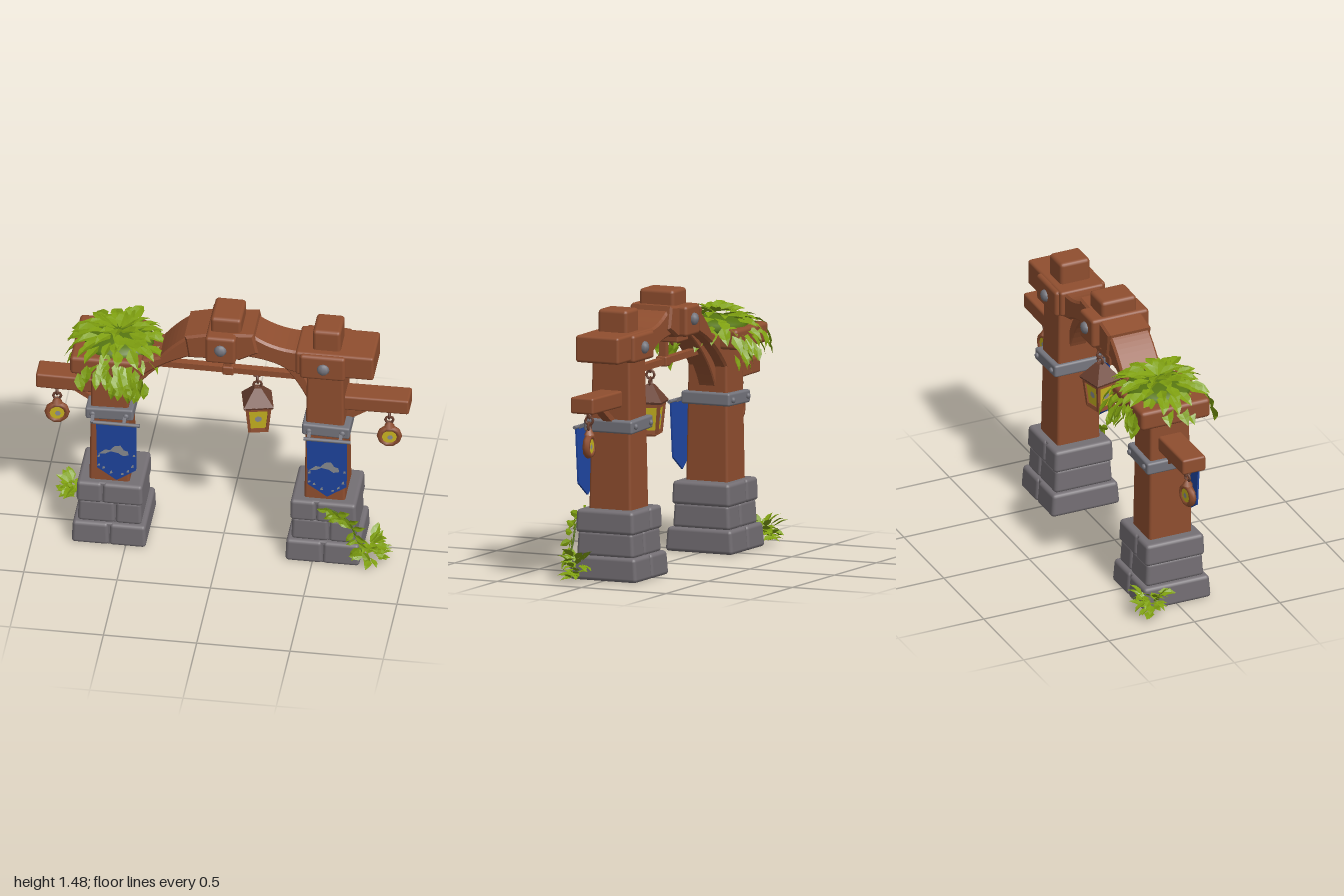
import * as THREE from 'three';
import { mergeGeometries } from 'three/addons/utils/BufferGeometryUtils.js';
import { RoundedBoxGeometry } from 'three/addons/geometries/RoundedBoxGeometry.js';

const mat = (name, color, side = THREE.FrontSide) => {
  const m = new THREE.MeshStandardMaterial({ color, side });
  m.name = name;
  return m;
};

export function createModel() {
  const model = new THREE.Group();
  const wood = mat('wood', 0x8f4e2f), darkWood = mat('dark wood', 0x6b4030);
  const stone = mat('stone', 0x746f74), iron = mat('iron', 0x74747c);
  const blue = mat('blue cloth', 0x1f459f), grey = mat('worn grey', 0x8b8d92);
  const glow = mat('yellow glass', 0xc8b420);
  const green = mat('leaf green', 0x7fa010, THREE.DoubleSide);
  const deepGreen = mat('deep green', 0x567510);

  let seed = 7;
  const rnd = (a = 0, b = 1) => {
    seed = (seed * 16807) % 2147483647;
    return a + (b - a) * (seed / 2147483647);
  };
  const add = (name, geo, material, x = 0, y = 0, z = 0, parent = model) => {
    const m = new THREE.Mesh(geo, material);
    m.name = name;
    m.position.set(x, y, z);
    parent.add(m);
    return m;
  };
  // Soft-edged block given by its limits, optionally narrowed towards the top
  const block = (name, material, [x0, x1], [y0, y1], [z0, z1], r = 0.015, taper = 1) => {
    const h = y1 - y0, g = new RoundedBoxGeometry(x1 - x0, h, z1 - z0, 2, r), p = g.attributes.position;
    for (let i = 0; i < p.count; i++) {
      const s = 1 + (taper - 1) * (p.getY(i) / h + 0.5);
      p.setX(i, p.getX(i) * s);
      p.setZ(i, p.getZ(i) * s);
    }
    return add(name, g, material, (x0 + x1) / 2, (y0 + y1) / 2, (z0 + z1) / 2);
  };
  const outline = pts => new THREE.Shape(pts.map(p => new THREE.Vector2(...p)));
  // Timber cut from a side outline, with chamfered edges
  const timber = (name, shape, half, bevel = 0.012) => {
    const g = new THREE.ExtrudeGeometry(shape, { depth: 2 * (half - bevel), bevelThickness: bevel,
      bevelSize: bevel, bevelOffset: -bevel, bevelSegments: 1, curveSegments: 8 });
    return add(name, g, wood, 0, 0, bevel - half);
  };
  const strut = (name, a, b, w, d, material, parent = model) => {
    const A = new THREE.Vector3(...a), B = new THREE.Vector3(...b), dir = B.clone().sub(A);
    const m = add(name, new THREE.BoxGeometry(w, dir.length(), d), material, 0, 0, 0, parent);
    m.position.copy(A).add(B).multiplyScalar(0.5);
    m.quaternion.setFromUnitVectors(new THREE.Vector3(0, 1, 0), dir.normalize());
    return m;
  };
  const bolt = (x, y, z, r = 0.034) => {
    const m = add('bolt', new THREE.SphereGeometry(r, 8, 6), iron, x, y, z);
    m.scale.z = 0.7;
  };

  // Stone footings and posts
  for (const cx of [-0.59, 0.555]) {
    const courses = [[0.2, 0.015, 0.145, 0.2, 0.95, 0], [0.172, 0.14, 0.275, 0.17, 0.95, 0.03], [0.178, 0.265, 0.39, 0.173, 0.97, -0.04]];
    for (const [hw, y0, y1, hz, taper, split] of courses) {
      block('footing core', stone, [cx - hw + 0.02, cx + hw - 0.02], [y0, y1], [-hz + 0.012, hz - 0.012], 0.01, taper);
      block('footing stone', stone, [cx - hw, cx + split], [y0, y1], [-hz, hz], 0.02, taper);
      block('footing stone', stone, [cx + split, cx + hw], [y0, y1], [-hz, hz], 0.02, taper);
    }
  }
  block('leftPost', wood, [0.447, 0.667], [0.37, 1.25], [-0.125, 0.125], 0.015, 0.88);
  block('rightPost', wood, [-0.705, -0.488], [0.37, 1.2], [-0.125, 0.125], 0.015, 0.9);
  block('leftPostTop', wood, [0.487, 0.637], [1.2, 1.455], [-0.087, 0.087], 0.02);

  // Iron bands, banners and side arms with hanging round lamps
  for (const [px, bandY, armY, side] of [[-0.595, 0.83, 0.955, -1], [0.565, 0.84, 0.985, 1]]) {
    const band = block('postBand', iron, [px - 0.128, px + 0.128], [bandY - 0.035, bandY + 0.035], [-0.145, 0.142], 0.012);
    band.rotation.z = side * -0.03;
    for (const dx of [-0.09, 0.09]) for (const z of [-0.15, 0.145]) bolt(px + dx, bandY, z, 0.016);

    const banner = new THREE.Group();
    banner.name = 'banner';
    banner.position.set(px + (side < 0 ? 0.046 : 0.014), side < 0 ? 0.81 : 0.82, 0.19);
    banner.rotation.x = 0.04;
    model.add(banner);
    const cloth = outline([[-0.108, 0], [-0.104, -0.3], [0, -0.375], [0.104, -0.3], [0.108, 0]].reverse());
    add('bannerCloth', new THREE.ExtrudeGeometry(cloth, { depth: 0.01, bevelEnabled: false }), blue, 0, 0, -0.005, banner);
    const emblem = [[-0.098, -0.205], [-0.06, -0.2], [-0.03, -0.182], [0.01, -0.19], [0.035, -0.208], [0.066, -0.2], [0.062, -0.175],
      [0.04, -0.168], [0.022, -0.138], [-0.01, -0.145], [-0.035, -0.175], [-0.06, -0.172]];
    const wear = [[-0.095, -0.28], [-0.07, -0.296], [-0.03, -0.325], [0.03, -0.33], [0.06, -0.31], [0.085, -0.275], [0.094, -0.2], [-0.095, -0.22]];
    const marks = [outline(emblem), ...wear.map(([x, y], i) =>
      outline([[x - 0.007, y - 0.008], [x + 0.008, y - 0.004], [x + 0.006, y + 0.008 + 0.004 * (i % 3)], [x - 0.004, y + 0.006]]))];
    add('bannerMarks', new THREE.ShapeGeometry(marks), grey, 0, 0, 0.0075, banner);
    const rod = add('bannerRod', new THREE.CylinderGeometry(0.01, 0.01, 0.25, 8), iron, 0, 0, 0, banner);
    rod.rotation.z = Math.PI / 2;
    for (const dx of [-0.085, 0.085])
      strut('bannerHook', [px + dx, bandY, 0.13], [px + dx, bandY - 0.025, 0.19], 0.018, 0.018, iron);

    const inner = px + side * 0.07, arm = [Math.min(inner, side), Math.max(inner, side)];
    const beam = block('sideArm', wood, arm, [armY - 0.044, armY + 0.044], [-0.068, 0.068], 0.012);
    beam.rotation.z = side * 0.01;
    strut('armBrace', [px + side * 0.1, armY - 0.12, 0], [px + side * 0.23, armY - 0.035, 0], 0.03, 0.05, wood);

    const lamp = new THREE.Group();
    lamp.name = 'roundLamp';
    lamp.position.set(side < 0 ? -0.893 : 0.888, armY - 0.228, 0.01);
    lamp.rotation.y = 0.12;
    model.add(lamp);
    const rim = add('lampRim', new THREE.TorusGeometry(0.051, 0.017, 6, 10), wood, 0, 0, 0, lamp);
    rim.scale.z = 1.2;
    const glass = add('lampGlass', new THREE.CylinderGeometry(0.045, 0.045, 0.025, 10), glow, 0, 0, 0, lamp);
    glass.rotation.x = Math.PI / 2;
    for (const s of [-1, 1]) {
      const spot = add('lampSpot', new THREE.CircleGeometry(0.016, 6), grey, 0.004, -0.003, s * 0.0135, lamp);
      if (s < 0) spot.rotation.y = Math.PI;
    }
    add('lampNeck', new THREE.CylinderGeometry(0.013, 0.03, 0.03, 6), wood, 0, 0.075, 0, lamp);
    for (let i = 0; i < 3; i++) {
      const link = add('chainLink', new THREE.TorusGeometry(0.021, 0.0075, 5, 8), darkWood, 0, 0.105 + i * 0.033, 0, lamp);
      link.rotation.y = i * Math.PI / 2;
    }
  }

  // Cap beams
  block('leftCapBeam', wood, [0.4, 0.82], [1.19, 1.335], [-0.128, 0.128], 0.015);
  block('leftCapCollar', wood, [0.425, 0.67], [1.18, 1.33], [-0.148, 0.148], 0.018);
  block('rightCapSlab', wood, [-0.8, -0.42], [1.11, 1.22], [-0.215, 0.19], 0.02);
  for (const s of [-1, 1]) bolt(0.553, 1.253, s * 0.15);

  // Arch
  const rightArch = new THREE.Shape();
  rightArch.moveTo(-0.52, 0.98);
  rightArch.quadraticCurveTo(-0.36, 1.17, -0.14, 1.245);
  rightArch.lineTo(-0.16, 1.375);
  rightArch.quadraticCurveTo(-0.25, 1.32, -0.33, 1.215);
  rightArch.lineTo(-0.52, 1.15);
  timber('rightArchBeam', rightArch, 0.115);
  const leftArch = new THREE.Shape();
  leftArch.moveTo(0.46, 1.165);
  leftArch.lineTo(0.46, 1.325);
  leftArch.quadraticCurveTo(0.3, 1.31, 0.17, 1.4);
  leftArch.lineTo(0.1, 1.26);
  leftArch.quadraticCurveTo(0.28, 1.25, 0.35, 1.195);
  timber('leftArchBeam', leftArch, 0.105);
  timber('archCrown', outline([[-0.175, 1.235], [0.1, 1.245], [0.2, 1.3], [0.175, 1.42], [-0.07, 1.4], [-0.195, 1.37]]), 0.125);
  for (const [a, b, c] of [[[-0.51, 0.87], [-0.43, 1.06], [-0.2, 1.21]], [[0.48, 0.9], [0.43, 1.08], [0.27, 1.24]]]) {
    const s = Math.sign(c[0] - a[0]), brace = new THREE.Shape();
    brace.moveTo(...a);
    brace.quadraticCurveTo(b[0], b[1], c[0], c[1]);
    brace.lineTo(c[0] - s * 0.04, c[1] + 0.05);
    brace.quadraticCurveTo(b[0] - s * 0.03, b[1] + 0.06, a[0], a[1] + 0.1);
    timber('archBrace', brace, 0.05, 0.006);
  }

  // Keystone block, king post and tie bar
  block('keyBlock', wood, [-0.078, 0.085], [1.245, 1.41], [-0.168, 0.168], 0.018);
  block('keyPostTop', wood, [-0.058, 0.107], [1.36, 1.495], [-0.1, 0.105], 0.02);
  block('keyFoot', wood, [-0.055, 0.075], [1.21, 1.255], [-0.11, 0.11], 0.01);
  for (const s of [-1, 1]) bolt(0.005, 1.335, s * 0.172);
  strut('kingPost', [0.025, 1.08, 0], [0.02, 1.23, 0], 0.035, 0.04, wood);
  block('tieCollar', wood, [-0.005, 0.055], [1.075, 1.128], [-0.032, 0.032], 0.008);
  strut('tieBar', [-0.4, 1.105, 0], [0.49, 1.098, 0], 0.035, 0.04, wood);

  // Large hanging lantern
  const lantern = new THREE.Group();
  lantern.name = 'lantern';
  lantern.position.set(0.18, 0, 0);
  lantern.rotation.y = 0.22;
  model.add(lantern);
  const square = (name, rt, rb, h, y, material) => {
    const q = Math.SQRT2, g = new THREE.CylinderGeometry(rt * q, rb * q, h, 4).toNonIndexed();
    g.rotateY(Math.PI / 4);
    g.computeVertexNormals();
    return add(name, g, material, 0, y, 0, lantern);
  };
  square('lanternRoof', 0.018, 0.08, 0.088, 0.953, darkWood);
  square('lanternEave', 0.08, 0.076, 0.012, 0.904, darkWood);
  square('lanternGlass', 0.058, 0.043, 0.16, 0.82, glow);
  square('lanternSill', 0.05, 0.053, 0.022, 0.745, wood);
  square('lanternFoot', 0.035, 0.03, 0.015, 0.728, wood);
  for (let i = 0; i < 4; i++) {
    const face = new THREE.Group();
    face.name = 'lanternFace';
    face.rotation.y = i * Math.PI / 2;
    lantern.add(face);
    strut('lanternCorner', [0.046, 0.74, 0.046], [0.061, 0.9, 0.061], 0.016, 0.016, wood, face);
    strut('lanternRail', [-0.058, 0.888, 0.059], [0.058, 0.888, 0.059], 0.018, 0.014, wood, face);
    const spot = add('lanternSpot', new THREE.CircleGeometry(0.02, 7), grey, 0, 0.82, 0.0525, face);
    spot.rotation.x = 0.094;
  }
  for (let i = 0; i < 3; i++) {
    const link = add('lanternLink', new THREE.TorusGeometry(0.022, 0.007, 5, 8), darkWood, 0, 1.012 + i * 0.036, 0, lantern);
    link.rotation.y = i * Math.PI / 2;
  }

  // Leaves: folded blades along +z, placed by direction
  const blade = new THREE.BufferGeometry();
  blade.setAttribute('position', new THREE.Float32BufferAttribute([0, 0, 0, -0.27, 0.03, 0.35, 0, -0.04, 0.4, 0.27, 0.03, 0.35,
    -0.2, 0.01, 0.68, 0, -0.06, 0.72, 0.2, 0.01, 0.68, 0, -0.16, 1], 3));
  blade.setIndex([0, 1, 2, 0, 2, 3, 1, 4, 5, 1, 5, 2, 2, 5, 6, 2, 6, 3, 4, 7, 5, 5, 7, 6]);
  const flatBlade = blade.toNonIndexed();
  flatBlade.computeVertexNormals();
  const leaf = (list, x, y, z, yaw, pitch, size, up = [0, 1, 0]) => {
    const o = new THREE.Object3D();
    o.up.set(...up);
    o.position.set(x, y, z);
    o.lookAt(x + Math.sin(yaw) * Math.cos(pitch), y + Math.sin(pitch), z + Math.cos(yaw) * Math.cos(pitch));
    o.rotateZ(rnd(-0.35, 0.35));
    o.scale.setScalar(size);
    o.updateMatrix();
    list.push(flatBlade.clone().applyMatrix4(o.matrix));
  };

  // Bush spilling over the cap slab
  const bush = [];
  for (const [r, y, pitch, n] of [[0.01, 1.285, 0.4, 7], [0.06, 1.285, 0.2, 11], [0.11, 1.275, 0, 15], [0.15, 1.25, -0.25, 18], [0.175, 1.215, -0.6, 20]])
    for (let i = 0; i < n; i++) {
      const a = (i + rnd(-0.3, 0.3)) / n * Math.PI * 2 + r * 20;
      leaf(bush, -0.565 + Math.sin(a) * r * 1.05, y + rnd(-0.015, 0.015), -0.01 + Math.cos(a) * r, a, pitch + rnd(-0.15, 0.15), rnd(0.11, 0.145));
    }
  for (const s of [-1, 1])
    for (let i = 0; i < 22; i++) {
      const t = rnd(), x = -0.76 + 0.37 * t;
      leaf(bush, x, 1.2 - rnd(0, 0.06 + 0.08 * t), s * rnd(0.19, 0.235), (s > 0 ? 0 : Math.PI) + rnd(-0.7, 0.7), rnd(-1.25, -0.8), rnd(0.09, 0.12));
    }
  add('bushLeaves', mergeGeometries(bush), green);
  add('bushCore', new THREE.SphereGeometry(1, 12, 8), deepGreen, -0.565, 1.215, -0.01).scale.set(0.19, 0.06, 0.18);

  // Plants at the footings
  for (const [x, z, face] of [[-0.82, -0.17, -2.1], [0.8, 0.13, 1.1]]) {
    const plant = [];
    for (let i = 0; i < 34; i++) {
      const a = face + rnd(-1.9, 1.9), r = rnd(0, 0.05), y = rnd(0.035, 0.15);
      leaf(plant, x + Math.sin(a) * r, y, z + Math.cos(a) * r, a, rnd(-0.3, 0.9) * (y < 0.08 ? 0.6 : 1), rnd(0.065, 0.1));
    }
    add('footingPlant', mergeGeometries(plant), green);
  }

  // Vine climbing the left footing
  const vinePath = new THREE.CatmullRomCurve3([[0.78, 0.1, 0.2], [0.735, 0.2, 0.185], [0.7, 0.29, 0.185], [0.64, 0.34, 0.182], [0.57, 0.37, 0.18]]
    .map(p => new THREE.Vector3(...p)));
  add('vineStem', new THREE.TubeGeometry(vinePath, 16, 0.005, 5), deepGreen);
  const vine = [];
  for (let i = 0; i < 18; i++) {
    const p = vinePath.getPoint(i / 17);
    leaf(vine, p.x, p.y, p.z + 0.012, (i % 2 ? 1 : -1) * rnd(0.9, 1.4), rnd(-1, 0.4), rnd(0.06, 0.085), [0, 0.2, 1]);
  }
  add('vineLeaves', mergeGeometries(vine), green);

  return model;
}
